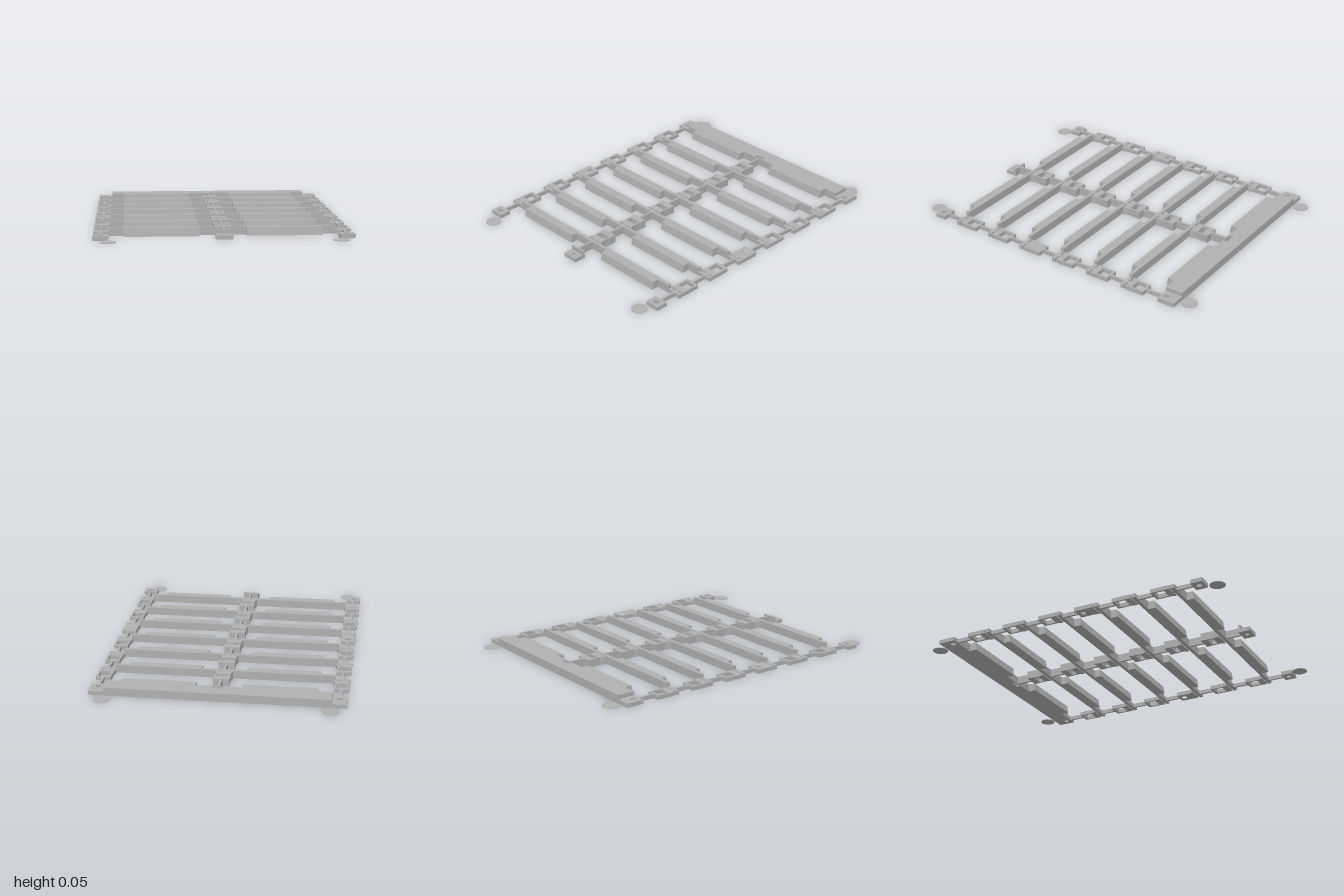
import * as THREE from 'three';

const FULL = 0.05, LOW = 0.025;

export function createModel() {
  const model = new THREE.Group();
  model.name = 'slottedFrame';
  const gray = new THREE.MeshStandardMaterial({ color: 0xb0b0b0 });

  const add = (name, geometry) => {
    const mesh = new THREE.Mesh(geometry, gray);
    mesh.name = name;
    model.add(mesh);
    return mesh;
  };

  // Box given by its limits, standing on the floor
  const block = (name, x0, x1, z0, z1, h) => {
    const g = new THREE.BoxGeometry(x1 - x0, h, z1 - z0);
    g.translate((x0 + x1) / 2, h / 2, (z0 + z1) / 2);
    return add(name, g);
  };

  // Plan outline in (x, z) raised to height h, with holes
  const plate = (name, points, holes, h) => {
    const shape = new THREE.Shape(points.map(([x, z]) => new THREE.Vector2(x, -z)));
    shape.holes = holes;
    const g = new THREE.ExtrudeGeometry(shape, { depth: h, bevelEnabled: false, curveSegments: 12 });
    g.rotateX(-Math.PI / 2);
    return add(name, g);
  };
  const rect = (x0, x1, z0, z1) => [[x0, z0], [x0, z1], [x1, z1], [x1, z0]];
  const rectHole = (x0, x1, z0, z1) =>
    new THREE.Path(rect(x0, x1, z0, z1).map(([x, z]) => new THREE.Vector2(x, -z)));
  const roundHole = (x, z, r) => new THREE.Path().absarc(x, -z, r, 0, Math.PI * 2, true);

  // Thick ledge in front of a bar, its front face leaning slightly outward at the base
  const ledge = (s, z) => {
    const w = 0.447, d = 0.052;
    const g = new THREE.BoxGeometry(w, FULL, d);
    const p = g.attributes.position;
    for (let i = 0; i < p.count; i++) {
      if (p.getZ(i) > 0 && p.getY(i) > 0) p.setZ(i, p.getZ(i) - 0.008);
    }
    g.computeVertexNormals();
    g.translate(s * 0.36, FULL / 2, z + d / 2);
    add('ledge', g);
  };

  // Wide rear bar with a slot in the middle and low drilled ends
  plate('rearBar', rect(-0.67, 0.67, -0.9, -0.79), [rectHole(-0.035, 0.035, -0.82, -0.796)], FULL);
  for (const s of [-1, 1]) {
    const x = s * 0.715;
    plate('rearBarEnd', rect(x - 0.045, x + 0.045, -0.9, -0.79), [roundHole(x, -0.825, 0.017)], LOW);
    ledge(s, -0.79);
  }

  for (let i = 0; i < 6; i++) {
    // Cross bar with low ends and two ledges
    const z = -0.556 + i * 0.251;
    block('crossBar', -0.67, 0.67, z, z + 0.022, FULL);
    for (const s of [-1, 1]) {
      block('crossBarEnd', s * 0.715 - 0.045, s * 0.715 + 0.045, z, z + 0.022, LOW);
      ledge(s, z + 0.016);
    }

    // Clips behind each cross bar, flared towards the bar
    const c = -0.687 + i * 0.251;
    plate('middleClip', [
      [-0.05, c], [-0.045, c + 0.09], [-0.056, c + 0.122],
      [0.056, c + 0.122], [0.045, c + 0.09], [0.05, c],
    ], [rectHole(-0.036, 0.036, c + 0.042, c + 0.078)], FULL);
    for (const s of [-1, 1]) {
      const x = s * 0.715;
      const hole = i === 3
        ? roundHole(x, c + 0.037, 0.017)
        : rectHole(x - 0.033, x + 0.033, c + 0.017, c + 0.082);
      const outline = [
        [s * 0.76, c], [s * 0.76, c + 0.122], [s * 0.66, c + 0.122],
        [s * 0.67, c + 0.09], [s * 0.67, c],
      ];
      plate('sideClip', outline, [hole], LOW);
    }
  }

  // Thin rods linking the clips, broken where the clips are open
  for (const x of [-0.715, 0, 0.715]) {
    const h = x === 0 ? FULL : LOW;
    for (let i = 0; i < 7; i++) {
      const start = i === 0 ? -0.79 : -0.566 + (i - 1) * 0.251;
      const end = i === 6 ? 0.822 : -0.687 + i * 0.251;
      block('linkRod', x - 0.007, x + 0.007, start, end, h);
    }
    // Front tab with a screw hole
    const w = x === 0 ? 0.05 : 0.045;
    plate('frontTab', rect(x - w, x + w, 0.822, 0.895),
      [roundHole(x, 0.859, x === 0 ? 0.013 : 0.017)], LOW);
  }
  block('middleTabWall', -0.05, 0.05, 0.82, 0.834, FULL);

  // Thin corner discs
  for (const x of [-0.67, 0.67]) {
    for (const z of [-0.953, 0.953]) {
      const g = new THREE.CylinderGeometry(0.047, 0.047, 0.003, 32);
      g.translate(x, 0.0015, z);
      add('cornerDisc', g);
    }
  }
  return model;
}
